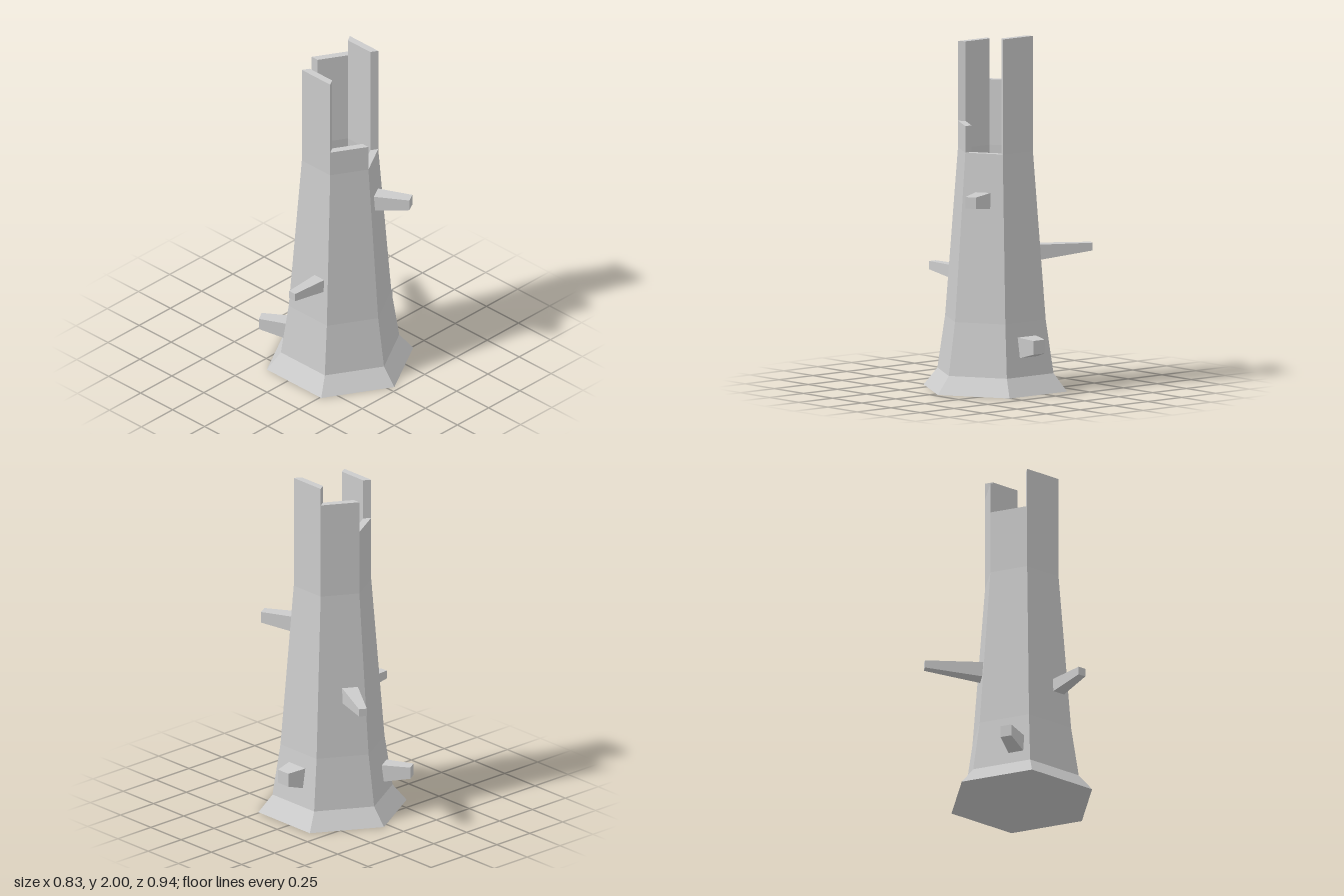
import * as THREE from 'three';

const material = new THREE.MeshStandardMaterial({ color: 0xcccccc, flatShading: true });
const CENTER = new THREE.Vector3(0.037, 0, 0.046);
const WALL = 0.046;   // wall thickness measured at the corners
const RIM_Y = 1.35;   // height where the splintered staves begin
const RIM_R = 0.222;

function addMesh(parent, name, geometry) {
  const mesh = new THREE.Mesh(geometry, material);
  mesh.name = name;
  parent.add(mesh);
  return mesh;
}

// Box whose corners are placed by rule(u, v, w): u = sideways, v = up, w = outwards, each -1 or 1
function warpedBox(rule) {
  const geometry = new THREE.BoxGeometry(2, 2, 2);
  const p = geometry.attributes.position;
  for (let i = 0; i < p.count; i++) {
    p.setXYZ(i, ...rule(Math.sign(p.getX(i)), Math.sign(p.getY(i)), Math.sign(p.getZ(i))));
  }
  geometry.computeVertexNormals();
  return geometry;
}

// One upright stave on side i of the hexagon, mitred at the corners
function staveGeometry(i, top) {
  return warpedBox((u, v, w) => {
    const angle = (i + 0.5 + u / 2) * Math.PI / 3;
    const r = w > 0 ? RIM_R : RIM_R - WALL;
    return [r * Math.sin(angle), v > 0 ? top : RIM_Y, r * Math.cos(angle)];
  });
}

// Tapered branch stub; each end is { x, z, low, high, width }
function branchGeometry(root, tip) {
  const dir = new THREE.Vector2(tip.x - root.x, tip.z - root.z).normalize();
  return warpedBox((u, v, w) => {
    const end = w > 0 ? tip : root;
    const s = u * end.width / 2;
    return [end.x + dir.y * s, v > 0 ? end.high : end.low, end.z - dir.x * s];
  });
}

const end = (x, z, low, high, width) => ({ x, z, low, high, width });

export function createModel() {
  const model = new THREE.Group();
  model.name = 'hollowTreeStump';

  // Hollow six-sided trunk: outside going up, over the rim, inside going down to the floor
  const outer = [[0.425, 0], [0.344, 0.1], [0.298, 0.4], [RIM_R, RIM_Y]];
  const inner = outer.slice(1).reverse().map(([r, y]) => [r - WALL, y]);
  const profile = [[0, 0], ...outer, ...inner, [0, 0.1]].map(([r, y]) => new THREE.Vector2(r, y));
  const trunk = new THREE.Group();
  trunk.name = 'trunk';
  trunk.position.copy(CENTER);
  addMesh(trunk, 'trunkShell', new THREE.LatheGeometry(profile, 6));

  // Broken top: staves of different heights, one side left open
  const tops = [RIM_Y, 2, 1.9, 1.72, 1.95, 1.5];
  tops.forEach((top, i) => {
    if (top > RIM_Y) addMesh(trunk, 'brokenStave' + i, staveGeometry(i, top));
  });
  model.add(trunk);

  // Branch stubs around the trunk
  const branches = {
    rightKnot: [end(0.305, 0.046, 0.2, 0.32, 0.135), end(0.412, 0.046, 0.232, 0.31, 0.085)],
    leftBranch: [end(-0.2, 0.118, 0.6, 0.677, 0.076), end(-0.42, 0.118, 0.63, 0.677, 0.047)],
    backLongBranch: [end(0.11, -0.178, 0.713, 0.802, 0.09), end(0.272, -0.461, 0.758, 0.802, 0.045)],
    backKnot: [end(-0.173, -0.153, 0.165, 0.265, 0.09), end(-0.255, -0.293, 0.198, 0.265, 0.065)],
    frontBranch: [end(0.14, 0.226, 1.04, 1.132, 0.09), end(0.239, 0.403, 1.068, 1.132, 0.062)],
  };
  for (const [name, [root, tip]] of Object.entries(branches)) {
    addMesh(model, name, branchGeometry(root, tip));
  }
  return model;
}
